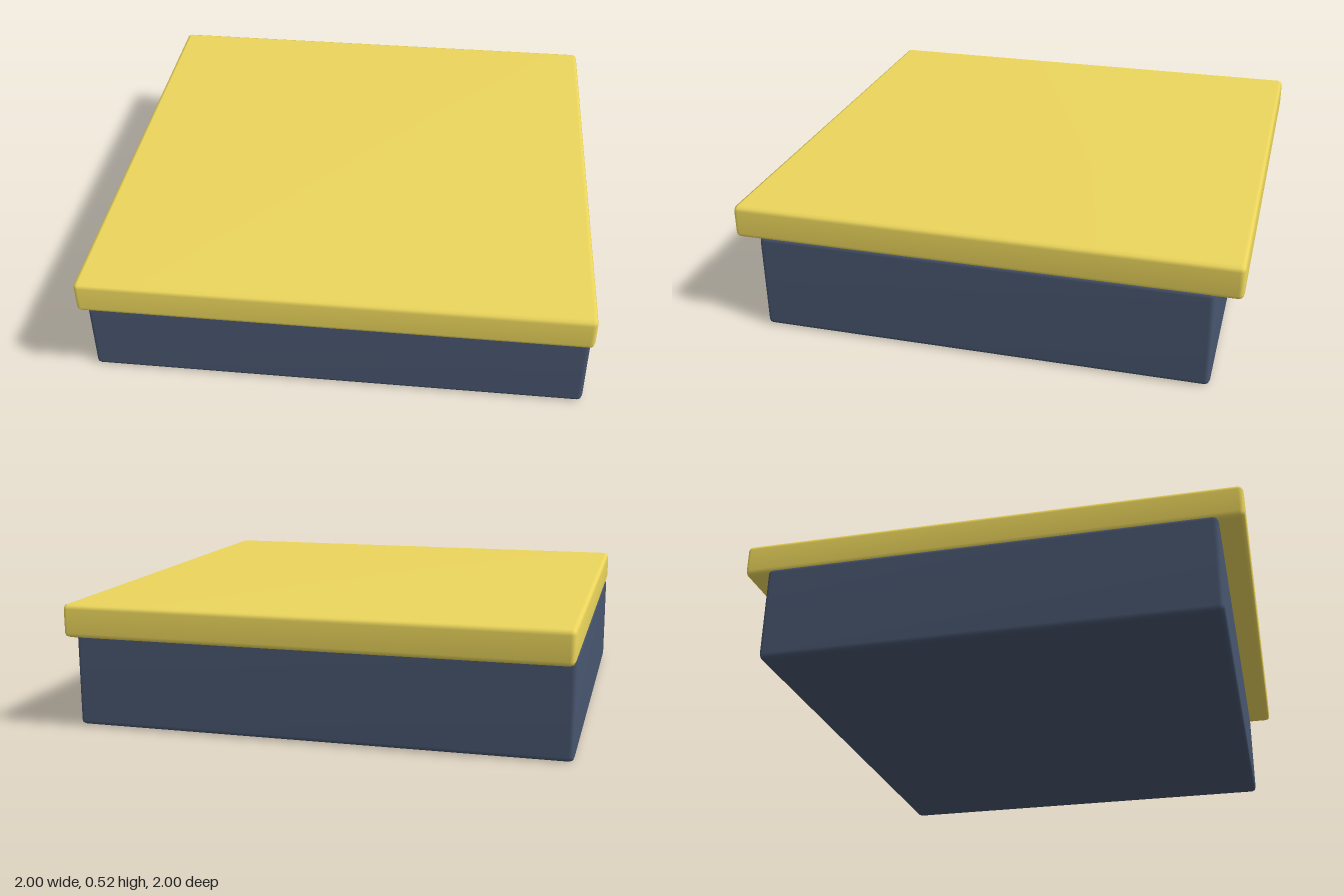
import * as THREE from 'three';
import { RoundedBoxGeometry } from 'three/addons/geometries/RoundedBoxGeometry.js';
import { mergeVertices } from 'three/addons/utils/BufferGeometryUtils.js';

// Box with softly bevelled edges and smooth shading, spanning y0 to y1
function softBox(name, width, depth, y0, y1, bevel, color) {
  let geometry = new RoundedBoxGeometry(width, y1 - y0, depth, 1, bevel);
  geometry.deleteAttribute('uv');
  geometry.deleteAttribute('normal');
  geometry.clearGroups();
  geometry = mergeVertices(geometry, 1e-4);
  geometry.computeVertexNormals();
  const mesh = new THREE.Mesh(geometry, new THREE.MeshStandardMaterial({ color }));
  mesh.name = name;
  mesh.position.y = (y0 + y1) / 2;
  return mesh;
}

export function createModel() {
  const model = new THREE.Group();
  model.name = 'slabOnBase';

  // Dark base, set back at front and rear
  model.add(softBox('base', 2, 1.8, 0, 0.4, 0.02, 0x48566f));

  // Yellow top slab, overhanging at front and rear
  model.add(softBox('topSlab', 2, 2, 0.385, 0.52, 0.02, 0xecd65c));

  return model;
}
